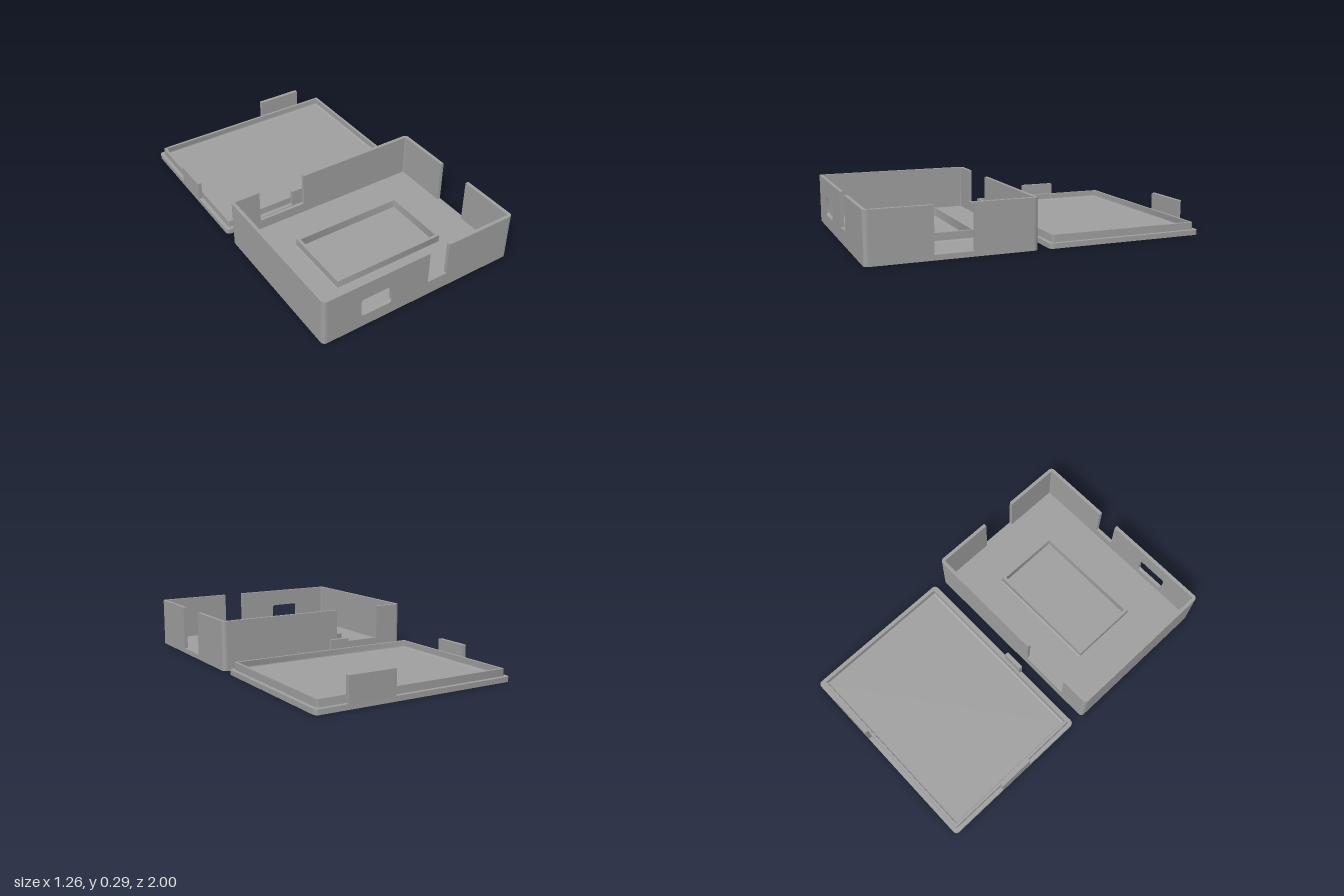
import * as THREE from 'three';
import { toCreasedNormals } from 'three/addons/utils/BufferGeometryUtils.js';

const HX = 0.63, HZ = 0.4825, CZ = 0.5175; // half footprint and centre of each half
const H = 0.295, WALL = 0.021, FLOOR = 0.03, R = 0.025;
const plastic = new THREE.MeshStandardMaterial({ color: 0xa0a0a0 });
plastic.name = 'grey plastic';

function add(group, name, geometry) {
  const mesh = new THREE.Mesh(toCreasedNormals(geometry, 0.6), plastic);
  mesh.name = name;
  group.add(mesh);
  return mesh;
}

// Rounded rectangle outline, centred unless cx, cy are given
function roundRect(target, hw, hh, r, cx = 0, cy = 0) {
  const q = Math.PI / 2;
  target.moveTo(cx + hw, cy - hh + r);
  target.absarc(cx + hw - r, cy + hh - r, r, 0, q, false);
  target.absarc(cx - hw + r, cy + hh - r, r, q, 2 * q, false);
  target.absarc(cx - hw + r, cy - hh + r, r, 2 * q, 3 * q, false);
  target.absarc(cx + hw - r, cy - hh + r, r, 3 * q, 4 * q, false);
  return target;
}

function extrude(shape, depth) {
  return new THREE.ExtrudeGeometry(shape, { depth, bevelEnabled: false, curveSegments: 8 });
}

// Horizontal slab, or a ring when a rim width is given
function slab(hx, hz, r, y0, y1, rim = 0) {
  const shape = roundRect(new THREE.Shape(), hx, hz, r);
  if (rim) shape.holes.push(roundRect(new THREE.Path(), hx - rim, hz - rim, 0.003));
  return extrude(shape, y1 - y0).rotateX(-Math.PI / 2).translate(0, y0, 0);
}

// Upright wall panel with an optional notch [from, to, bottom] and window
function panel(half, notch, hole) {
  const s = new THREE.Shape();
  s.moveTo(-half, 0);
  s.lineTo(half, 0);
  s.lineTo(half, H);
  if (notch) {
    s.lineTo(notch[1], H);
    s.lineTo(notch[1], notch[2]);
    s.lineTo(notch[0], notch[2]);
    s.lineTo(notch[0], H);
  }
  s.lineTo(-half, H);
  s.closePath();
  if (hole) s.holes.push(hole);
  return extrude(s, WALL).translate(0, 0, -WALL);
}

// Small concave fillets along four sides of a rectangle; dir -1 faces inward, 1 outward
function fillets(group, name, hx, hz, y, r, dir) {
  const s = new THREE.Shape();
  s.moveTo(0, 0);
  s.lineTo(r, 0);
  s.absarc(r, r, r, -Math.PI / 2, -Math.PI, true);
  s.closePath();
  for (let i = 0; i < 4; i++) {
    const a = i * Math.PI / 2;
    const dist = i % 2 ? hz : hx, len = 2 * (i % 2 ? hx : hz);
    const g = extrude(s, len).translate(0, 0, -len / 2);
    if (dir < 0) g.rotateY(Math.PI);
    g.translate(dist, y, 0).rotateY(a);
    add(group, name, g);
  }
}

function makeBox() {
  const box = new THREE.Group();
  box.name = 'openBox';
  box.position.z = CZ;
  add(box, 'boxFloor', slab(HX - WALL, HZ - WALL, 0.004, 0, FLOOR));

  // Walls
  const lx = HX - R, lz = HZ - R;
  const port = roundRect(new THREE.Path(), 0.0975, 0.0575, 0.017, -0.2975, 0.133);
  add(box, 'frontWall', panel(lx, [0.045, 0.175, 0.09], port).translate(0, 0, HZ));
  add(box, 'backWall', panel(lx, [0.15, 0.45, 0.09]).translate(0, 0, HZ).rotateY(Math.PI));
  add(box, 'leftSideWall', panel(lz, [CZ - 0.628, CZ - 0.405, FLOOR])
    .translate(0, 0, HX).rotateY(Math.PI / 2));
  add(box, 'rightSideWall', panel(lz).translate(0, 0, HX).rotateY(-Math.PI / 2));

  // Rounded corner posts
  for (let i = 0; i < 4; i++) {
    const s = new THREE.Shape();
    s.absarc(0, 0, R, 0, Math.PI / 2, false);
    s.absarc(0, 0, R - WALL, Math.PI / 2, 0, true);
    s.closePath();
    const post = add(box, 'cornerPost', extrude(s, H).rotateX(-Math.PI / 2));
    post.rotation.y = i * Math.PI / 2;
    post.position.set(i === 0 || i === 3 ? lx : -lx, 0, i < 2 ? -lz : lz);
  }

  // Raised holder frame on the floor
  const holder = new THREE.Group();
  holder.name = 'holderFrame';
  holder.position.z = 0.512 - CZ;
  add(holder, 'holderRim', slab(0.355, 0.212, 0.002, FLOOR, 0.081, 0.018));
  fillets(holder, 'holderFillet', 0.355, 0.212, FLOOR, 0.007, 1);
  box.add(holder);
  return box;
}

function makeLid() {
  const lid = new THREE.Group();
  lid.name = 'lid';
  lid.position.z = -CZ;
  add(lid, 'lidPlate', slab(HX, HZ, R, 0, FLOOR));

  // Inset lip with a filleted inner edge
  const inset = 0.024, rim = 0.016;
  add(lid, 'lidLip', slab(HX - inset, HZ - inset, 0.01, FLOOR, 0.073, rim));
  fillets(lid, 'lipFillet', HX - inset - rim, HZ - inset - rim, FLOOR, 0.01, -1);

  // Tabs that fill the box notches
  const tab = (name, w, top, d, x, z) => add(lid, name,
    new THREE.BoxGeometry(w, top - FLOOR, d).translate(x, (top + FLOOR) / 2, z));
  tab('frontTab', 0.125, 0.131, inset, -0.113, HZ - inset / 2);
  tab('backTab', 0.29, 0.175, inset, 0.295, -HZ + inset / 2);
  tab('sideTab', inset, 0.142, 0.22, -HX + inset / 2, CZ - 0.515);
  return lid;
}

export function createModel() {
  const model = new THREE.Group();
  model.name = 'enclosure';
  model.add(makeBox(), makeLid());
  return model;
}
